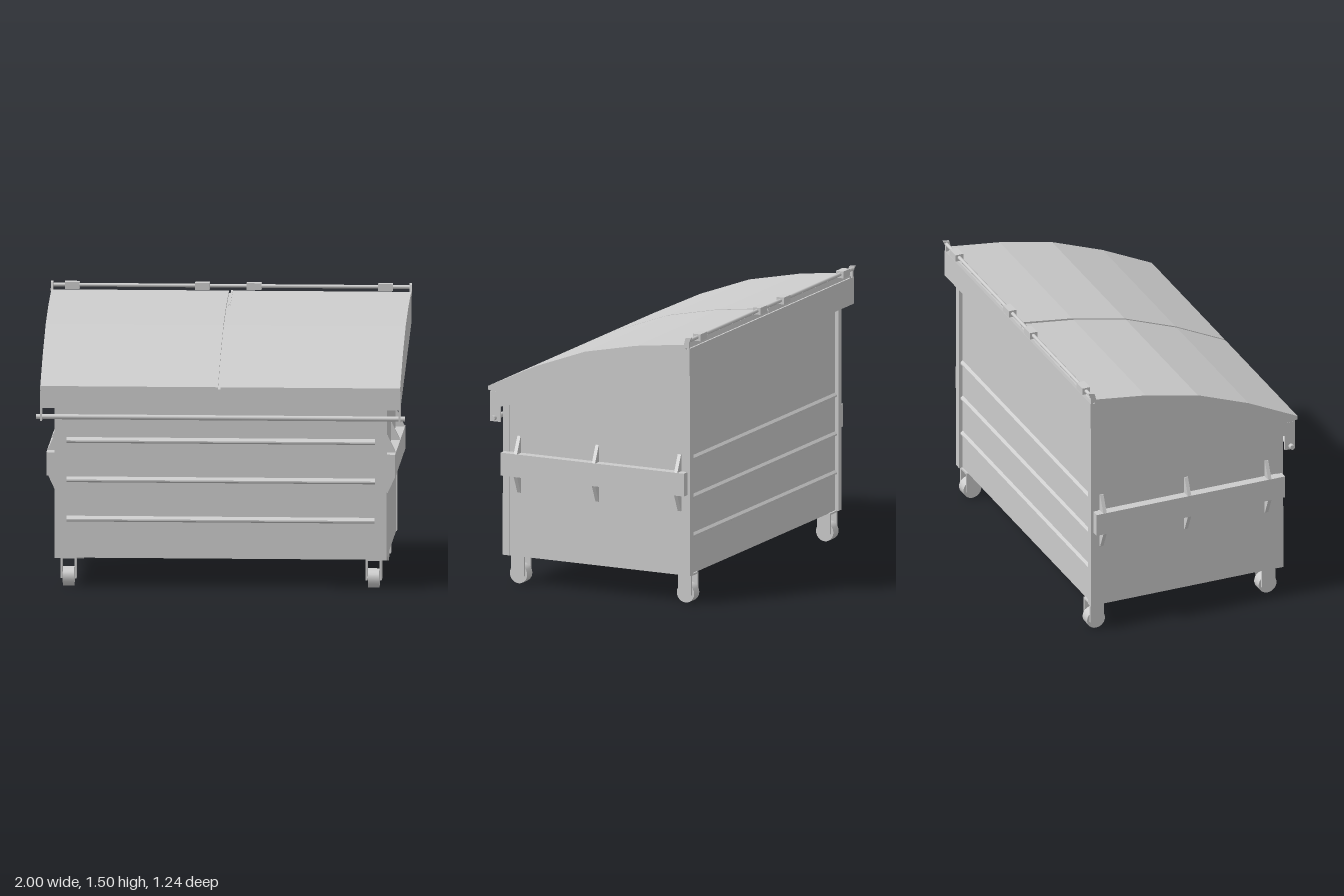
import * as THREE from 'three';

const material = new THREE.MeshStandardMaterial({ color: 0xcccccc, flatShading: true });
const smooth = new THREE.MeshStandardMaterial({ color: 0xcccccc });

export function createModel() {
  const root = new THREE.Group();
  root.name = 'wheeledDumpster';

  const add = (name, geometry, mat = material) => {
    const mesh = new THREE.Mesh(geometry, mat);
    mesh.name = name;
    root.add(mesh);
    return mesh;
  };
  // Box given by its limits on each axis
  const box = (name, x0, x1, y0, y1, z0, z1) =>
    add(name, new THREE.BoxGeometry(x1 - x0, y1 - y0, z1 - z0)
      .translate((x0 + x1) / 2, (y0 + y1) / 2, (z0 + z1) / 2));
  // Side outline of [z, y] points, extruded from x0 to x1
  const prism = (name, points, x0, x1) => {
    const shape = new THREE.Shape(points.map(([z, y]) => new THREE.Vector2(z, y)));
    const g = new THREE.ExtrudeGeometry(shape, { depth: x1 - x0, bevelEnabled: false });
    return add(name, g.rotateY(-Math.PI / 2).translate(x1, 0, 0));
  };
  // Cylinder lying along x
  const rod = (name, x0, x1, y, z, r, sides = 16) =>
    add(name, new THREE.CylinderGeometry(r, r, x1 - x0, sides)
      .rotateZ(Math.PI / 2).translate((x0 + x1) / 2, y, z), smooth);

  // Bin body with a sloping top
  prism('body', [[0.547, 0.16], [0.547, 1.03], [-0.55, 1.33], [-0.55, 0.16]], -0.895, 0.895);

  // Sloping rim around the opening
  prism('rim', [[0.605, 0.985], [0.605, 1.092], [-0.605, 1.442], [-0.605, 1.292]], -0.975, 0.975);

  // Two curved lids and the recessed strip between them
  const lid = (drop) => [[0.605, 1.085], [0.62, 1.087], [0.62, 1.108 - drop], [0.33, 1.248 - drop],
    [0.03, 1.36 - drop], [-0.28, 1.425 - drop], [-0.575, 1.462 - drop], [-0.585, 1.43]];
  prism('rightLid', lid(0), -0.975, -0.012);
  prism('leftLid', lid(0), 0.002, 0.975);
  prism('lidSeam', lid(0.012), -0.012, 0.002);
  prism('lidOverlap', [[-0.28, 1.42], [-0.28, 1.428], [-0.575, 1.466], [-0.575, 1.455]], 0, 0.01);

  // Hinge rod and its sleeves
  rod('hingeRod', -0.975, 0.975, 1.485, -0.598, 0.01);
  for (const x of [-0.862, -0.157, 0.123, 0.835])
    box('hingeSleeve', x - 0.04, x + 0.04, 1.465, 1.503, -0.62, -0.575);

  // Front rod
  rod('frontRod', -1, 1, 0.935, 0.58, 0.014);

  // Horizontal ribs on front and back panels
  for (const y of [0.38, 0.595, 0.81]) {
    for (const s of [1, -1]) {
      const w = s > 0 ? 0.84 : 0.86;
      const points = [[0.54, y + 0.016], [0.563, y - 0.006], [0.563, y - 0.014], [0.54, y - 0.026]];
      prism(s > 0 ? 'frontRib' : 'backRib', points.map(([z, v]) => [z * s, v]), -w, w);
    }
  }

  for (const s of [1, -1]) {
    // Pair of limits mirrored to the chosen side
    const span = (a, b) => (s > 0 ? [a, b] : [-b, -a]);

    // Corner posts
    prism('frontPost', [[0.53, 0.16], [0.57, 0.16], [0.567, 1.02], [0.53, 1.02]], ...span(0.835, 0.9));
    box('backPost', ...span(0.86, 0.9), 0.16, 1.31, -0.57, -0.53);

    // Rod tab and hinge bracket
    box('rodTab', ...span(0.966, 0.976), 0.915, 1.08, 0.545, 0.606);
    prism('hingeBracket', [[-0.57, 1.455], [-0.582, 1.5], [-0.617, 1.505], [-0.603, 1.475], [-0.603, 1.435]],
      ...span(0.965, 0.978));

    // Lifting beam with gussets above and below
    box('liftingBeam', ...span(0.89, 0.945), 0.61, 0.737, -0.555, 0.56);
    for (const z of [0.47, -0.005, -0.505]) {
      const shape = new THREE.Shape([[0.89, 0.515], [0.9, 0.515], [0.944, 0.61], [0.944, 0.737],
        [0.9, 0.83], [0.89, 0.83]].map(([x, y]) => new THREE.Vector2(x * s, y)));
      add('gusset', new THREE.ExtrudeGeometry(shape, { depth: 0.02, bevelEnabled: false })
        .translate(0, 0, z - 0.01));
    }

    // Casters
    for (const z of [0.495, -0.52]) {
      rod('wheel', ...span(0.796, 0.857), 0.053, z, 0.053, 24);
      rod('axle', ...span(0.784, 0.869), 0.053, z, 0.008, 10);
      box('casterPlate', ...span(0.783, 0.87), 0.152, 0.162, z - 0.04, z + 0.04);
      for (const x of [0.783, 0.86])
        box('casterFork', ...span(x, x + 0.01), 0.045, 0.16, z - 0.04, z + 0.04);
    }
  }
  return root;
}
